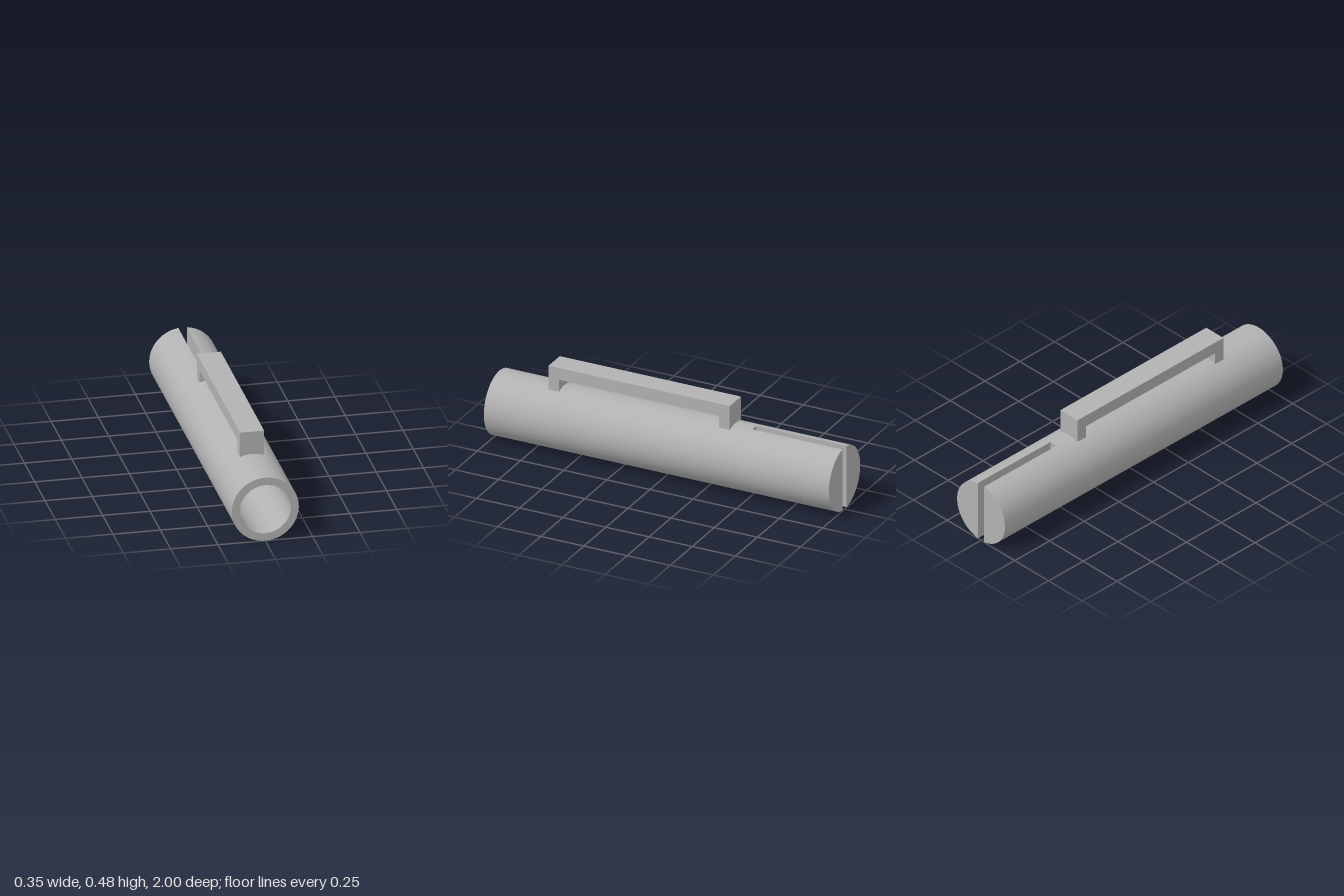
import * as THREE from 'three';
import { toCreasedNormals } from 'three/addons/utils/BufferGeometryUtils.js';

const R = 0.177;        // outer radius, also height of the axis
const BORE = 0.135;     // bore radius
const SLOT = 0.023;     // half width of the rear slot
const SLOT_Z = -0.478;  // where the slot ends
const BORE_Z = -0.37;   // floor of the bore

export function createModel() {
  const model = new THREE.Group();
  const grey = new THREE.MeshStandardMaterial({ color: 0xb2b2b2 });
  grey.name = 'grey';

  const add = (name, geometry) => {
    const mesh = new THREE.Mesh(geometry, grey);
    mesh.name = name;
    model.add(mesh);
    return mesh;
  };

  // Barrel with a blind bore, open at the front
  const profile = [[0, SLOT_Z], [R, SLOT_Z], [R, 1], [BORE, 1], [BORE, BORE_Z], [0, BORE_Z]]
    .map(([r, z]) => new THREE.Vector2(r, z));
  const barrel = new THREE.LatheGeometry(profile, 96).rotateX(Math.PI / 2);
  add('barrel', toCreasedNormals(barrel, 0.5)).position.y = R;

  // Two half-round prongs either side of the rear slot
  const edge = Math.acos(SLOT / R);
  const half = new THREE.Shape().absarc(0, 0, R, -edge, edge, false);
  half.closePath();
  const prong = toCreasedNormals(new THREE.ExtrudeGeometry(half, {
    depth: 1 + SLOT_Z, bevelEnabled: false, curveSegments: 48,
  }), 0.5);
  ['leftProng', 'rightProng'].forEach((name, i) => {
    const mesh = add(name, prong);
    mesh.position.set(0, R, -1);
    mesh.rotation.z = i * Math.PI;
  });

  // Bridge-shaped handle: side outline (z, y) extruded across x
  const outline = [[0.683, 0.325], [0.683, 0.479], [-0.367, 0.479], [-0.367, 0.325],
    [-0.305, 0.325], [-0.305, 0.411], [0.623, 0.411], [0.623, 0.325]]
    .map(([z, y]) => new THREE.Vector2(-z, y));
  const handle = new THREE.ExtrudeGeometry(new THREE.Shape(outline), {
    depth: 0.127, bevelEnabled: false,
  }).translate(0, 0, -0.0635).rotateY(Math.PI / 2);
  add('handle', handle);

  return model;
}
